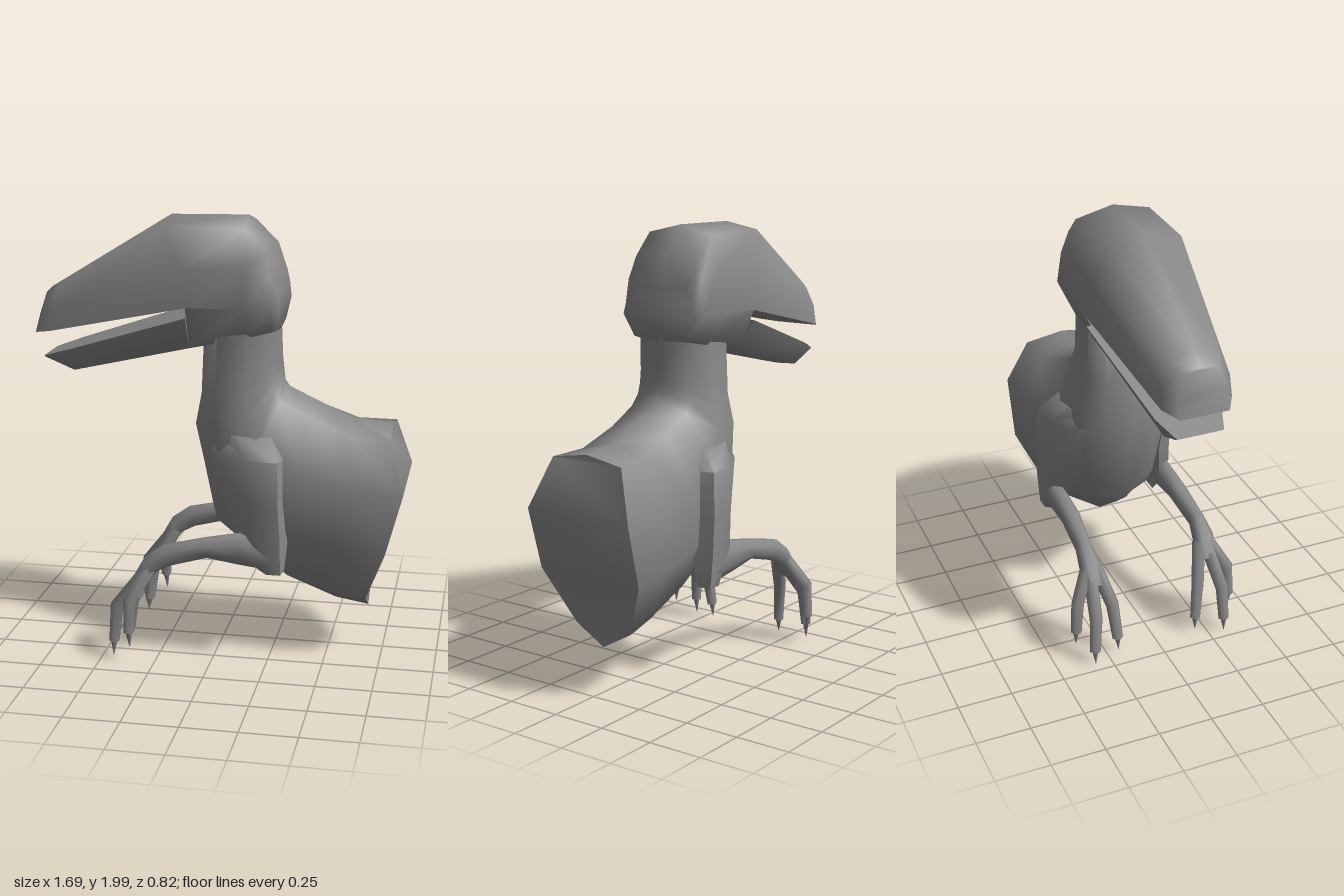
import * as THREE from 'three';
import { toCreasedNormals } from 'three/addons/utils/BufferGeometryUtils.js';

const material = new THREE.MeshStandardMaterial({ color: 0x888888, side: THREE.DoubleSide });

// Closed skin through rings of equal, even point count, capped at both ends by strips
function loft(name, rings, crease = 1.25) {
  const n = rings[0].length, pos = rings.flat(2), index = [];
  for (let r = 0; r < rings.length - 1; r++)
    for (let i = 0; i < n; i++) {
      const a = r * n + i, b = r * n + (i + 1) % n;
      index.push(a, b, a + n, b, b + n, a + n);
    }
  const last = (rings.length - 1) * n;
  for (let i = 0; i < n / 2; i++) {
    const [a, b, c, d] = [i, i + 1, n - i - 1, (n - i) % n];
    index.push(b, a, c, c, a, d);
    index.push(last + a, last + b, last + c, last + a, last + c, last + d);
  }
  // Turn the skin outward if its enclosed volume is negative
  const v = (i) => new THREE.Vector3().fromArray(pos, i * 3);
  let volume = 0;
  for (let i = 0; i < index.length; i += 3)
    volume += v(index[i]).dot(v(index[i + 1]).cross(v(index[i + 2])));
  if (volume < 0) index.reverse();
  const geo = new THREE.BufferGeometry();
  geo.setAttribute('position', new THREE.Float32BufferAttribute(pos, 3));
  geo.setIndex(index);
  const mesh = new THREE.Mesh(toCreasedNormals(geo, crease), material);
  mesh.name = name;
  return mesh;
}

// Half section (top centre to bottom centre) mirrored across z = 0
const mirrored = (half) => [
  ...half,
  ...half.slice(1, -1).reverse().map(([x, y, z]) => [x, y, -z]),
];

// Limb along points [x, y, z, radius in the side plane, radius across]
function limb(name, pts, sides = 8) {
  const at = (i) => new THREE.Vector3(...pts[Math.min(Math.max(i, 0), pts.length - 1)].slice(0, 3));
  const rings = pts.map((p, i) => {
    const d = at(i + 1).sub(at(i - 1)).normalize();
    const u = d.clone().cross(new THREE.Vector3(0, 0, 1)).normalize();
    const w = u.clone().cross(d);
    return Array.from({ length: sides }, (_, k) => {
      const t = (k + 0.5) / sides * Math.PI * 2;
      return at(i).addScaledVector(u, Math.cos(t) * p[3]).addScaledVector(w, Math.sin(t) * p[4]).toArray();
    });
  });
  return loft(name, rings);
}

function makeArm(side) {
  const arm = new THREE.Group();
  arm.name = side > 0 ? 'leftArm' : 'rightArm';
  const P = (x, y, z, a, b) => [x, y, side * z, a, b];

  // Shoulder and upper arm: level sections [y, then x, z of back inner, back outer, front outer, front inner]
  arm.add(loft('upperArm', [
    [1.05, 0.28, 0.18, 0.25, 0.225, 0.1, 0.235, 0, 0.15],
    [0.96, 0.32, 0.2, 0.295, 0.31, 0.15, 0.3, -0.02, 0.2],
    [0.76, 0.32, 0.2, 0.3, 0.317, 0.17, 0.312, 0.04, 0.2],
    [0.6, 0.335, 0.22, 0.31, 0.317, 0.18, 0.315, 0.1, 0.23],
    [0.44, 0.32, 0.24, 0.312, 0.305, 0.25, 0.305, 0.2, 0.24],
  ].map(([y, ...s]) => [0, 2, 4, 6].map((k) => [s[k], y, side * s[k + 1]]))));

  arm.add(limb('forearm', [
    P(0.27, 0.53, 0.275, 0.08, 0.037), P(0.12, 0.545, 0.275, 0.075, 0.045), P(-0.03, 0.54, 0.275, 0.047, 0.045),
    P(-0.21, 0.495, 0.285, 0.052, 0.037), P(-0.28, 0.45, 0.285, 0.045, 0.05), P(-0.34, 0.36, 0.285, 0.035, 0.05),
  ]));

  // Fingers: knuckle, middle joint, end, claw tip
  const fingers = {
    outer: [[-0.29, 0.43, 0.3], [-0.36, 0.3, 0.375], [-0.365, 0.15, 0.385], [-0.36, 0.08, 0.387]],
    middle: [[-0.29, 0.43, 0.29], [-0.435, 0.25, 0.315], [-0.448, 0.08, 0.325], [-0.452, 0.01, 0.325]],
    inner: [[-0.29, 0.43, 0.26], [-0.385, 0.27, 0.215], [-0.405, 0.09, 0.197], [-0.41, 0.025, 0.195]],
  };
  for (const [key, [a, b, c, tip]] of Object.entries(fingers)) {
    arm.add(limb(key + 'Finger', [P(...a, 0.037, 0.033), P(...b, 0.033, 0.031), P(...c, 0.024, 0.026)], 6));
    arm.add(limb(key + 'Claw', [
      P(c[0], c[1] + 0.01, c[2], 0.018, 0.018), P(...tip, 0.001, 0.001)], 6));
  }
  return arm;
}

export function createModel() {
  const model = new THREE.Group();
  model.name = 'dinosaurForequarters';

  // Trunk from the flat rear cut, through the chest, up the neck
  model.add(loft('bodyAndNeck', [
    [[0.775, 1.085, 0], [0.775, 1.055, 0.185], [0.843, 0.83, 0.273], [0.77, 0.55, 0.268], [0.68, 0.3, 0.15], [0.68, 0.215, 0]],
    [[0.595, 1.1, 0], [0.6, 1.06, 0.17], [0.6, 0.85, 0.267], [0.58, 0.57, 0.26], [0.53, 0.33, 0.14], [0.53, 0.24, 0]],
    [[0.42, 1.18, 0], [0.42, 1.13, 0.15], [0.38, 0.9, 0.25], [0.34, 0.62, 0.25], [0.3, 0.43, 0.15], [0.3, 0.33, 0]],
    [[0.285, 1.245, 0], [0.28, 1.2, 0.15], [0.2, 1.02, 0.24], [0.12, 0.8, 0.24], [0.09, 0.57, 0.16], [0.1, 0.48, 0]],
    [[0.28, 1.29, 0], [0.25, 1.25, 0.14], [0.14, 1.12, 0.225], [0.03, 0.92, 0.22], [-0.02, 0.7, 0.14], [-0.03, 0.585, 0]],
    [[0.275, 1.33, 0], [0.24, 1.3, 0.135], [0.13, 1.21, 0.205], [-0.01, 1.12, 0.2], [-0.1, 1.06, 0.12], [-0.13, 1.04, 0]],
    [[0.27, 1.38, 0], [0.24, 1.36, 0.13], [0.13, 1.31, 0.182], [0, 1.25, 0.175], [-0.08, 1.21, 0.11], [-0.1, 1.2, 0]],
    [[0.263, 1.54, 0], [0.24, 1.54, 0.13], [0.13, 1.52, 0.172], [0, 1.48, 0.165], [-0.07, 1.44, 0.11], [-0.09, 1.43, 0]],
  ].map(mirrored)));

  // Snout, mouth corner and skull
  model.add(loft('headAndUpperJaw', [
    [[-0.795, 1.652, 0], [-0.795, 1.64, 0.085], [-0.82, 1.55, 0.11], [-0.845, 1.46, 0.11], [-0.845, 1.46, 0.05], [-0.845, 1.46, 0]],
    [[-0.73, 1.692, 0], [-0.73, 1.67, 0.11], [-0.755, 1.57, 0.15], [-0.765, 1.477, 0.157], [-0.765, 1.477, 0.08], [-0.765, 1.477, 0]],
    [[-0.235, 1.995, 0], [-0.235, 1.965, 0.165], [-0.15, 1.78, 0.208], [-0.13, 1.615, 0.225], [-0.13, 1.615, 0.14], [-0.13, 1.615, 0]],
    [[-0.235, 1.995, 0], [-0.235, 1.965, 0.165], [-0.15, 1.78, 0.208], [-0.13, 1.615, 0.225], [-0.13, 1.42, 0.14], [-0.13, 1.41, 0]],
    [[0.115, 2, 0], [0.115, 1.96, 0.172], [0.13, 1.8, 0.205], [0.13, 1.62, 0.224], [0.13, 1.48, 0.165], [0.13, 1.45, 0]],
    [[0.22, 1.88, 0], [0.22, 1.86, 0.167], [0.235, 1.76, 0.198], [0.24, 1.62, 0.217], [0.24, 1.51, 0.165], [0.24, 1.48, 0]],
    [[0.265, 1.75, 0], [0.265, 1.74, 0.145], [0.272, 1.68, 0.18], [0.277, 1.61, 0.195], [0.262, 1.52, 0.145], [0.262, 1.5, 0]],
  ].map(mirrored), 1.35));

  // Lower jaw
  model.add(loft('lowerJaw', [
    [[-0.81, 1.352, 0], [-0.81, 1.352, 0.105], [-0.8, 1.345, 0.105], [-0.8, 1.345, 0]],
    [[-0.69, 1.392, 0], [-0.69, 1.392, 0.15], [-0.67, 1.29, 0.1], [-0.67, 1.285, 0]],
    [[-0.13, 1.57, 0], [-0.13, 1.57, 0.225], [-0.13, 1.42, 0.14], [-0.13, 1.41, 0]],
  ].map(mirrored)));

  for (const side of [1, -1]) model.add(makeArm(side));
  return model;
}
